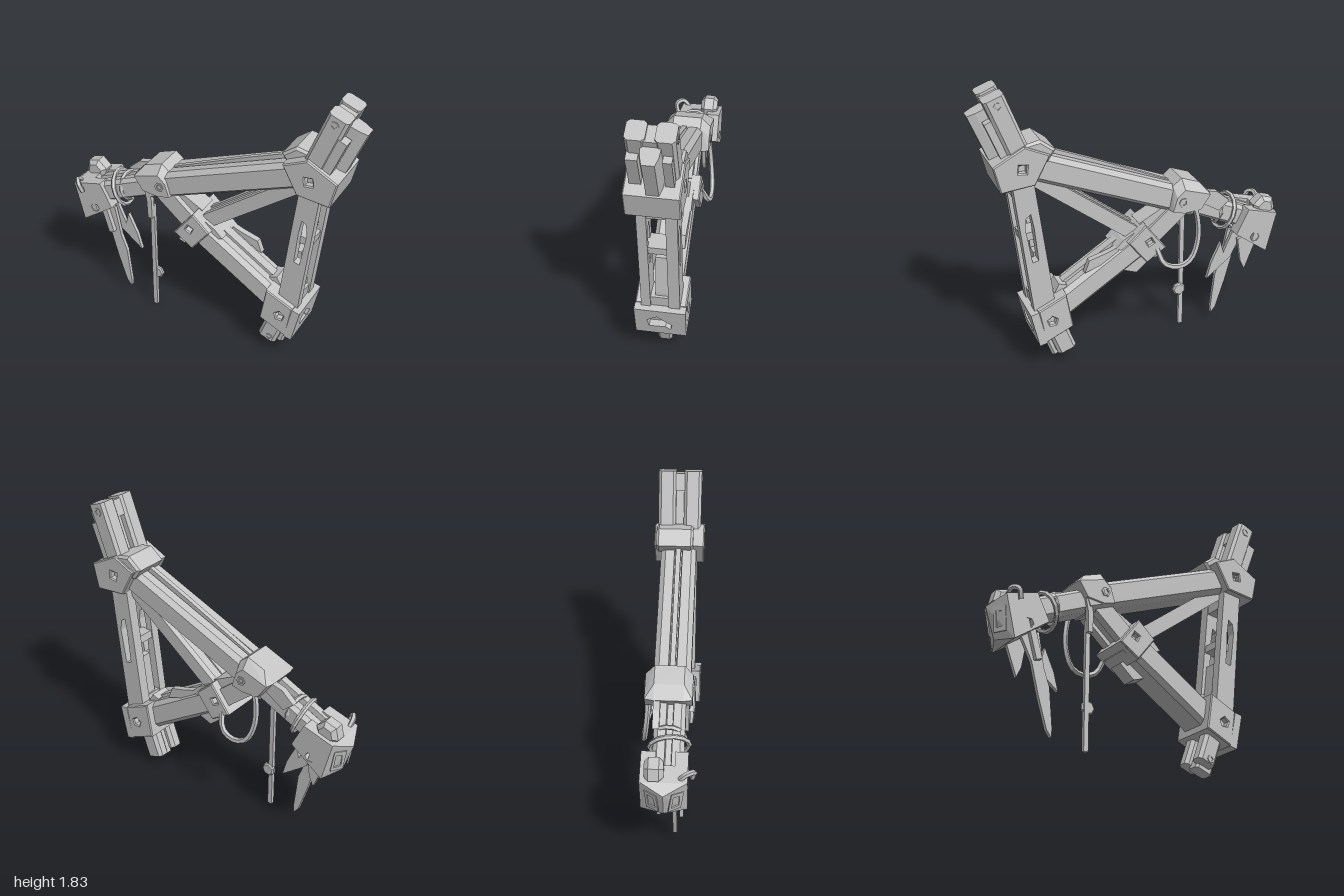
import * as THREE from 'three';
import { ConvexGeometry } from 'three/addons/geometries/ConvexGeometry.js';

export function createModel() {
  const model = new THREE.Group();
  const metal = new THREE.MeshStandardMaterial({ color: 0xc4c4c4, flatShading: true });
  metal.name = 'wornMetal';

  const add = (name, geo) => {
    const m = new THREE.Mesh(geo, metal);
    m.name = name;
    model.add(m);
    return m;
  };
  const toShape = (pts, holes = []) => {
    const s = new THREE.Shape(pts.map(p => new THREE.Vector2(p[0], p[1])));
    for (const h of holes) s.holes.push(new THREE.Path(h.map(p => new THREE.Vector2(p[0], p[1]))));
    return s;
  };
  const ngon = (x, y, r, n, a = 0) => Array.from({ length: n }, (_, i) =>
    [x + r * Math.cos(a + i * 2 * Math.PI / n), y + r * Math.sin(a + i * 2 * Math.PI / n)]);

  // Flat outline in x/y, thick from z0 to z1
  const plate = (name, pts, z0, z1, holes = [], bevel = 0) => {
    const g = new THREE.ExtrudeGeometry(toShape(pts, holes), {
      depth: z1 - z0 - 2 * bevel, bevelEnabled: bevel > 0, bevelThickness: bevel,
      bevelSize: bevel, bevelOffset: -bevel, bevelSegments: 1
    });
    return add(name, g.translate(0, 0, z0 + bevel));
  };
  // Joint block with blind bolt holes [x, y, radius, sides, turn] on both faces
  const joint = (name, pts, z0, z1, holes) => {
    plate(name, pts, z0, z1, holes.map(h => ngon(...h)), .007);
    for (const [x, y, r, n, a] of holes) plate(name + 'Bolt', ngon(x, y, r * 1.2, n, a), z0 + .04, z1 - .04);
  };
  // Section [across, z] swept from a to b in the x/y plane
  const beam = (name, section, a, b, holes = []) => {
    const dx = b[0] - a[0], dy = b[1] - a[1], len = Math.hypot(dx, dy);
    const g = new THREE.ExtrudeGeometry(toShape(section, holes), { depth: len, bevelEnabled: false });
    const m = new THREE.Matrix4().makeBasis(
      new THREE.Vector3(-dy / len, dx / len, 0), new THREE.Vector3(0, 0, 1),
      new THREE.Vector3(dx / len, dy / len, 0));
    m.setPosition(a[0], a[1], 0);
    return add(name, g.applyMatrix4(m));
  };
  const rect = (u0, u1, z0, z1) => [[u0, z0], [u1, z0], [u1, z1], [u0, z1]];
  const chamfer = (u, z0, z1, c) => [[-u, z0 + c], [-u + c, z0], [u - c, z0], [u, z0 + c],
    [u, z1 - c], [u - c, z1], [-u + c, z1], [-u, z1 - c]];
  const tube = (name, pts, r) => add(name, new THREE.TubeGeometry(
    new THREE.CatmullRomCurve3(pts.map(p => new THREE.Vector3(...p))), 18, r, 5, false));
  const hull = (...p) => new ConvexGeometry(p.map(q => new THREE.Vector3(...q)));

  // Main beam: faceted tube with a groove along its top and a ridge inside
  const grooved = [[-.088, -.065], [-.088, .08], [-.06, .12], [.055, .12], [.083, .09], [.083, .035], [.04, .03],
    [.04, -.01], [.083, -.015], [.083, -.07], [.055, -.1], [-.06, -.1]];
  beam('mainBeam', grooved, [-.4, .94], [.66, 1.37]);
  plate('mainBeamRidge', [[-.26, 1.09], [.25, 1.315], [.55, 1.44], [.58, 1.34], [-.22, 1.02]], -.005, .025);
  beam('mainBeamNeck', grooved.map(([u, z]) => [u * .82, z * .82]), [-.85, .73], [-.35, .955]);
  plate('neckFin', [[-.62, .93], [-.54, 1.0], [-.46, 1.02], [-.42, .95], [-.55, .87]], -.09, -.05);

  // Wrapped rings on the neck
  [[-.63, .815, .115, .3], [-.58, .845, .088, -.2]].forEach(([x, y, r, tilt]) => {
    const ring = add('neckRing', new THREE.TorusGeometry(r, .015, 5, 14));
    ring.position.set(x, y, .01);
    ring.rotation.set(0, Math.PI / 2 + tilt * .4, 0);
    ring.rotateX(-.3 - tilt * .3);
  });

  // Collar on the main beam, its top sloping in towards the sides
  const collar = [[-.475, 1.02], [-.41, 1.09], [-.29, 1.135], [-.235, 1.09], [-.205, .94], [-.29, .92], [-.41, .93]];
  const collarSide = collar.map(([x, y]) => [x * .92 - .027, y > 1.05 ? y - .06 : y]);
  add('beamCollar', hull(...collar.flatMap(p => [[...p, .085], [...p, -.09]]),
    ...collarSide.flatMap(p => [[...p, .135], [...p, -.145]])));
  for (const z of [.135, -.152])
    plate('collarBolt', ngon(-.283, .995, .03, 6), z, z + .007, [ngon(-.283, .995, .018, 5)]);

  // Top joint
  joint('topJoint', [[.55, 1.44], [.70, 1.51], [.89, 1.41], [.85, 1.245], [.645, 1.265]],
    -.145, .17, [[.716, 1.375, .034, 4, .9]]);
  plate('topJointLug', [[.51, 1.46], [.60, 1.53], [.70, 1.51], [.64, 1.38], [.56, 1.39]], -.13, .10, [], .015);

  // Mast: two side bars, a web and a top bridge that closes the slot between them
  for (const [z0, z1] of [[.035, .145], [-.125, -.015]])
    beam('mastSideBar', chamfer(.064, z0, z1, .018), [.70, 1.4], [.855, 1.807]);
  beam('mastWeb', rect(-.06, .01, -.05, .07), [.70, 1.4], [.83, 1.74]);
  beam('mastBridge', rect(-.058, .05, -.05, .07), [.813, 1.695], [.85, 1.793]);
  beam('mastMiddleBar', [[-.05, -.03], [-.05, .04], [.0, .055], [.085, .065], [.085, -.05], [.0, -.045]],
    [.82, 1.40], [.945, 1.71]);
  // Slim flanges beside the middle bar
  for (const [z0, z1] of [[.075, .14], [-.105, -.055]])
    beam('mastFlange', rect(-.02, .06, z0, z1), [.79, 1.40], [.895, 1.665]);
  for (const [z0, z1] of [[.145, .15], [-.13, -.125]])
    plate('mastBolt', ngon(.835, 1.76, .028, 6), z0, z1, [ngon(.835, 1.76, .017, 4)]);

  // Upright post: windowed side plates, cross bars and an inner web
  const postOutline = [[.645, 1.28], [.775, 1.28], [.672, .38], [.535, .38]];
  const windowHole = [[.635, .76], [.672, .75], [.708, .98], [.70, 1.05], [.672, 1.07], [.655, .98]];
  plate('postFrontPlate', postOutline, .068, .125, [windowHole]);
  plate('postBackPlate', postOutline, -.108, -.04, [windowHole]);
  [[.875, .05], [1.16, .12], [.4, .1]].forEach(([y, h]) => {
    const x = .603 + (y - .38) * .119;
    beam('postCrossBar', rect(-.058, .058, -.05, .08), [x, y], [x + h * .12, y + h]);
  });
  plate('postInnerWeb', [[.56, .42], [.655, .42], [.66, .52], [.645, .78], [.605, .78]], -.035, .04);

  // Bottom joint with a deep opening in its outer face
  joint('bottomJoint', [[.48, .51], [.66, .428], [.62, .198], [.44, .28]],
    -.145, .165, [[.573, .343, .03, 5, .3]]);
  beam('bottomJointOuterFace', rect(-.115, .115, -.145, .165), [.635, .31], [.685, .299],
    [[[-.045, .08], [-.04, -.02], [-.065, -.05], [-.02, -.06], [.03, .0], [.055, .03], [.015, .09]]]);
  plate('bottomJointLug', [[.45, .53], [.5, .545], [.54, .47], [.48, .44]], -.06, .06);

  // Stub below the bottom joint
  for (const [z0, z1] of [[.03, .12], [-.1, -.015]])
    beam('stubSideBar', chamfer(.062, z0, z1, .02), [.535, .27], [.468, .085]);
  beam('stubMiddleBar', chamfer(.06, -.04, .05, .015), [.575, .27], [.495, .05]);
  plate('stubBolt', ngon(.49, .105, .026, 6), .12, .126, [ngon(.49, .105, .015, 4)]);

  // Lower beam and its continuation up to the collar
  beam('lowerBeam', chamfer(.085, -.095, .115, .028), [-.05, .74], [.53, .37]);
  beam('lowerBeamRidge', rect(.07, .1, -.02, .04), [.05, .68], [.50, .395]);
  plate('lowerBeamWedge', [[.12, .74], [.2, .71], [.31, .68], [.34, .6], [.12, .68]], -.085, -.045);
  plate('lowerBeamLip', [[-.1, .62], [.0, .535], [.15, .59], [.1, .64], [-.03, .67]], -.08, .02);
  for (const [z0, z1] of [[.04, .095], [-.09, -.03]])
    beam('upperStrutRail', rect(-.055, .06, z0, z1), [-.34, .97], [-.08, .75]);
  beam('upperStrutWeb', rect(-.03, .03, -.04, .05), [-.34, .97], [-.08, .75]);
  plate('upperStrutGusset', [[-.2, .96], [-.02, .865], [-.08, .78], [-.24, .9]], -.07, .06);

  // Middle joint
  joint('middleJoint', [[-.045, .875], [.07, .77], [-.05, .615], [-.18, .70]],
    -.13, .145, [[-.07, .757, .026, 4, .3], [-.112, .675, .024, 4, .4]]);
  plate('middleJointLug', [[.02, .82], [.09, .78], [.14, .73], [.03, .69]], -.09, .1);

  // Diagonal brace: two rails on a thin web
  for (const [z0, z1] of [[.035, .075], [-.065, -.025]])
    beam('braceRail', rect(-.045, .045, z0, z1), [-.02, .78], [.65, 1.29]);
  beam('braceWeb', rect(.0, .035, -.03, .04), [-.02, .78], [.65, 1.29]);

  // Head: wedge nose with a cheek plate on each side of the neck
  const panel = [[-.87, .55], [-.655, .705], [-.735, .865], [-.935, .81]];
  const nosePanel = [[-.87, .55], [-.765, .625], [-.825, .84], [-.935, .81]];
  add('headNose', hull(...nosePanel.flatMap(p => [[...p, .12], [...p, -.14]]),
    [-.995, .76, -.01], [-.93, .57, -.01]));
  const headBolt = [ngon(-.785, .665, .032, 6)];
  plate('headCheek', panel, .05, .125, headBolt);
  plate('headCheek', panel, -.145, -.06, headBolt);
  for (const s of [1, -1]) {
    const g = new THREE.ExtrudeGeometry(toShape([[-.04, -.075], [.04, -.075], [.045, .07], [-.035, .08]],
      [[[-.022, -.05], [.025, -.045], [.02, .04], [-.02, .05]]]), { depth: .008, bevelEnabled: false });
    const rim = add('noseRim', g);
    rim.position.set(-.934, .675, s > 0 ? .057 : -.077);
    rim.lookAt(-.934 - .0312, .675 - .0072, rim.position.z + s * .0185);
  }
  // Knob and hook on the head
  plate('headKnob', ngon(-.865, .845, .078, 6, .3), -.12, -.01, [], .025);
  tube('headHook', [[-.9, .78, .06], [-.905, .85, .12], [-.875, .84, .16], [-.855, .78, .15]], .016);

  // Torn shards hanging under the head
  plate('longShard', [[-.80, .62], [-.72, .47], [-.67, .28], [-.61, .09], [-.578, .05], [-.575, .1],
    [-.60, .34], [-.64, .45], [-.68, .66]], .03, .055);
  plate('sideShard', [[-.75, .62], [-.68, .48], [-.63, .44], [-.515, .35], [-.545, .46], [-.61, .60],
    [-.63, .52], [-.69, .66]], -.02, .005);
  plate('shortShard', [[-.84, .59], [-.765, .395], [-.735, .46], [-.71, .62], [-.78, .64]], -.06, -.035);
  beam('shardRod', rect(-.02, .02, .06, .09), [-.74, .65], [-.69, .48]);

  // Hanging strap with a small tag
  plate('strapTop', [[-.42, .99], [-.38, .99], [-.355, .85], [-.355, .72], [-.385, .72], [-.39, .85]], .085, .115);
  plate('strap', [[-.385, .8], [-.355, .8], [-.355, 0], [-.385, 0]], .06, .085);
  plate('strapTag', ngon(-.355, .265, .045, 7), .05, .08, [], .008);

  // Slack cable looping behind, from the collar to the middle joint
  tube('cable', [[-.33, 1.02, -.13], [-.38, .9, -.13], [-.385, .72, -.145], [-.33, .6, -.16], [-.25, .57, -.165],
    [-.16, .6, -.155], [-.12, .7, -.12]], .018);

  return model;
}
